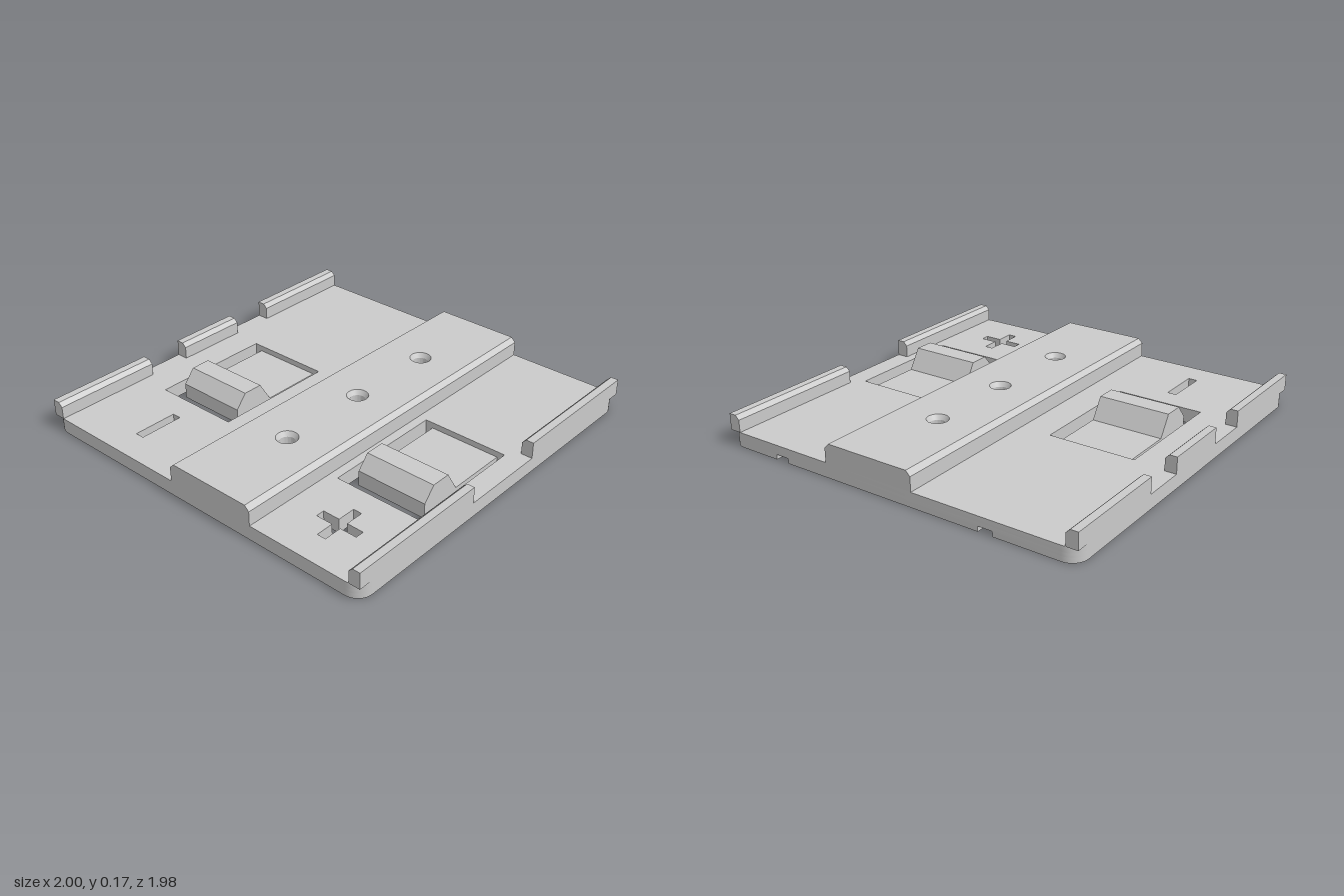
import * as THREE from 'three';
import { toCreasedNormals } from 'three/addons/utils/BufferGeometryUtils.js';

const D = 0.988; // half depth in z
const HOLE_X = [-0.5, 0, 0.5];
const HOLE_Z = 0.115;
const WINDOWS = [[-0.762, -0.3], [0.414, 0.876]];
const GROOVES = [[-0.57, -0.495], [0.61, 0.685]];
const SLIT = 0.04, X0 = -0.485, TIP = -0.385, X1 = 0.17;
const GROOVE_Y = 0.026, TONGUE_Y = 0.045, PLATE_Y = 0.075;

export function createModel() {
  const group = new THREE.Group();
  const grey = new THREE.MeshStandardMaterial({ color: 0xcacaca });
  grey.name = 'grey plastic';
  const greyInside = new THREE.MeshStandardMaterial({ color: 0xcacaca, side: THREE.DoubleSide });
  greyInside.name = 'grey plastic, open surface';

  const add = (name, geometry, material = grey) => {
    const mesh = new THREE.Mesh(geometry, material);
    mesh.name = name;
    group.add(mesh);
    return mesh;
  };

  // Plan shapes are given as [x, z], turned counter-clockwise and extruded upwards
  const planPoints = (pts) => pts.map(([x, z]) => new THREE.Vector2(x, -z)).reverse();
  const rect = (x0, x1, z0, z1) => [[x0, z0], [x1, z0], [x1, z1], [x0, z1]];
  const circle = (x, z, r) => new THREE.Path().absarc(x, -z, r, 0, Math.PI * 2);
  const slab = (shape, y0, y1) => {
    const g = new THREE.ExtrudeGeometry(shape, { depth: y1 - y0, bevelEnabled: false, curveSegments: 24 });
    g.rotateX(-Math.PI / 2).translate(0, y0, 0);
    return toCreasedNormals(g, 0.6);
  };
  // Profiles are given as [z, y] and extruded along x
  const bar = (profile, x0, x1) => {
    const shape = new THREE.Shape(profile.map(([z, y]) => new THREE.Vector2(-z, y)));
    const g = new THREE.ExtrudeGeometry(shape, { depth: x1 - x0, bevelEnabled: false });
    return g.rotateY(Math.PI / 2).translate(x0, 0, 0);
  };

  // Rounded plate outline, optionally notched by the grooves from the +x edge
  const outline = (grooved) => {
    const pts = [];
    const r = 0.08;
    [[1, -1, -90], [1, 1, 0], [-1, 1, 90], [-1, -1, 180]].forEach(([sx, sz, start], corner) => {
      for (let i = 0; i <= 8; i++) {
        const a = THREE.MathUtils.degToRad(start + (i * 90) / 8);
        pts.push([sx * (1 - r) + r * Math.cos(a), sz * (D - r) + r * Math.sin(a)]);
      }
      if (corner === 0 && grooved) {
        for (const [a, b] of GROOVES) pts.push([1, a], [-0.32, a], [-0.32, b], [1, b]);
      }
    });
    return new THREE.Shape(planPoints(pts));
  };

  const uSlit = ([a, b]) => [
    [X0, a], [X1, a], [X1, a + SLIT], [TIP, a + SLIT],
    [TIP, b - SLIT], [X1, b - SLIT], [X1, b], [X0, b],
  ];
  const minus = rect(-0.85, -0.615, -0.555, -0.508);
  const plus = [
    [-0.85, 0.622], [-0.755, 0.622], [-0.755, 0.532], [-0.71, 0.532], [-0.71, 0.622], [-0.615, 0.622],
    [-0.615, 0.668], [-0.71, 0.668], [-0.71, 0.758], [-0.755, 0.758], [-0.755, 0.668], [-0.85, 0.668],
  ];

  // Base plate in three levels: grooved bottom, tongue level, open windows
  const plate = (name, y0, y1, grooved, windowCut) => {
    const shape = outline(grooved);
    for (const cut of [minus, plus, ...WINDOWS.map(windowCut)]) {
      shape.holes.push(new THREE.Path(planPoints(cut)));
    }
    for (const x of HOLE_X) shape.holes.push(circle(x, HOLE_Z, 0.04));
    add(name, slab(shape, y0, y1));
  };
  plate('plateBottom', 0, GROOVE_Y, true, uSlit);
  plate('plateTongueLevel', GROOVE_Y, TONGUE_Y, false, uSlit);
  plate('plateTop', TONGUE_Y, PLATE_Y, false, ([a, b]) => rect(X0, X1, a, b));

  // Raised centre rail with chamfered long edges
  const railLevel = (name, z0, z1, y0, y1, r) => {
    const shape = new THREE.Shape(planPoints(rect(-1, 1, z0, z1)));
    for (const x of HOLE_X) shape.holes.push(circle(x, HOLE_Z, r));
    add(name, slab(shape, y0, y1));
  };
  railLevel('railBody', -0.135, 0.366, PLATE_Y, 0.15, 0.04);
  railLevel('railTop', -0.111, 0.342, 0.15, 0.174, 0.055);
  add('railBackChamfer', bar([[-0.135, 0.15], [-0.111, 0.15], [-0.111, 0.174]], -1, 1));
  add('railFrontChamfer', bar([[0.366, 0.15], [0.342, 0.15], [0.342, 0.174]], -1, 1));

  // Countersinks of the screw holes
  for (const x of HOLE_X) {
    const cone = new THREE.CylinderGeometry(0.055, 0.04, 0.024, 48, 1, true);
    add('countersink', cone, greyInside).position.set(x, 0.162, HOLE_Z);
  }

  // Edge lips with a chamfer on the inner top edge
  const lip = (name, s, x0, x1) => add(name, bar([
    [s * D, PLATE_Y], [s * D, 0.16], [s * 0.948, 0.16], [s * 0.927, 0.139], [s * 0.927, PLATE_Y],
  ], x0, x1));
  for (const [a, b] of [[-1, -0.231], [0.231, 1]]) lip('frontLip', 1, a, b);
  for (const [a, b] of [[-1, -0.425], [-0.193, 0.19], [0.42, 1]]) lip('backLip', -1, a, b);

  // Sloped catch at the tip of each spring tongue
  const catchShape = new THREE.Shape([
    [TIP, TONGUE_Y], [-0.155, TONGUE_Y], [-0.22, 0.15], [-0.325, 0.15], [TIP, 0.08],
  ].map(([x, y]) => new THREE.Vector2(x, y)));
  for (const [a, b] of WINDOWS) {
    const g = new THREE.ExtrudeGeometry(catchShape, { depth: b - a - 2 * SLIT, bevelEnabled: false });
    add('tongueCatch', g.translate(0, 0, a + SLIT));
  }

  return group;
}
